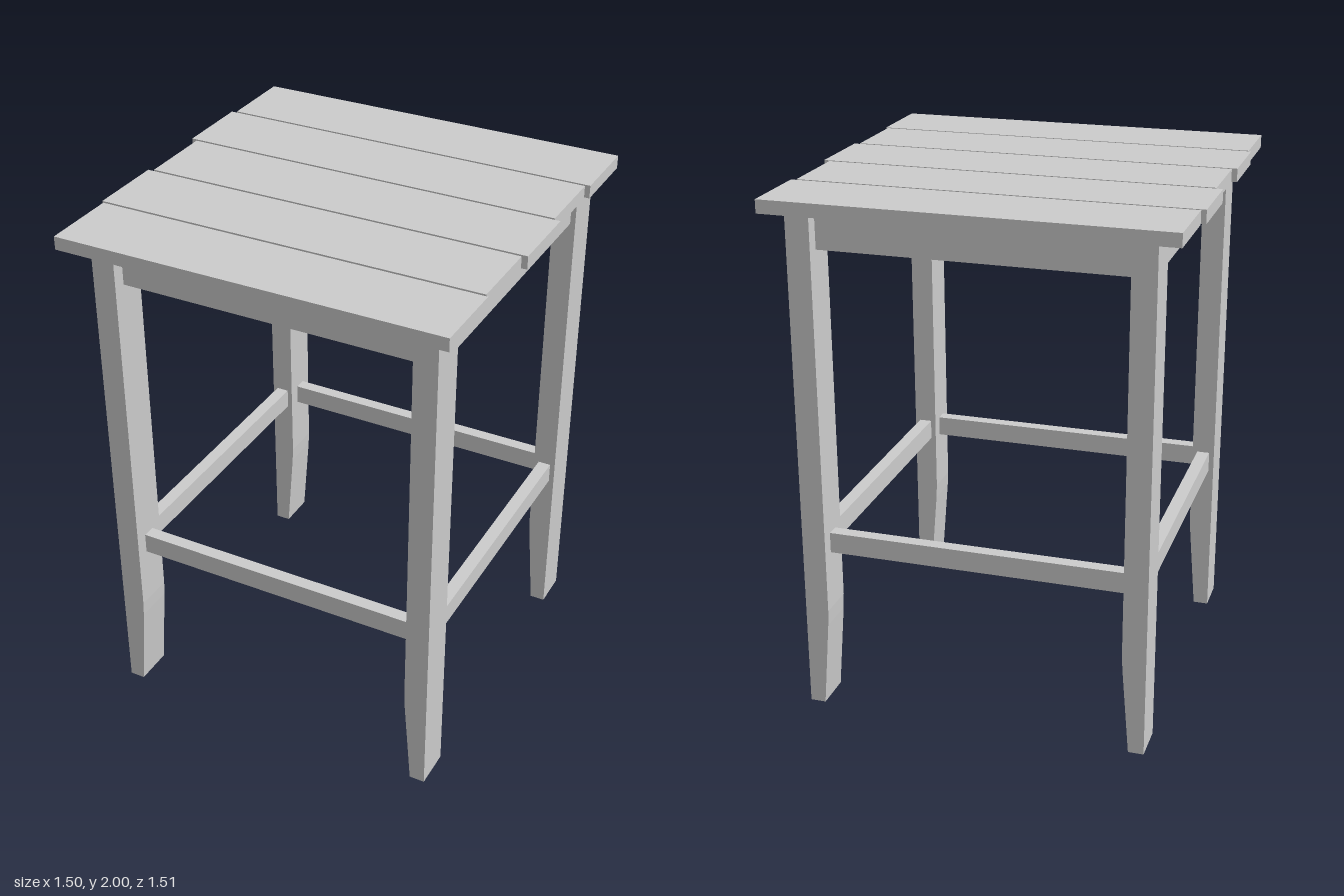
import * as THREE from 'three';

export function createModel() {
  const stool = new THREE.Group();
  stool.name = 'stool';
  const material = new THREE.MeshStandardMaterial({ color: 0xcccccc, flatShading: true });

  const add = (name, geometry, x, y, z) => {
    const mesh = new THREE.Mesh(geometry, material);
    mesh.name = name;
    mesh.position.set(x, y, z);
    stool.add(mesh);
    return mesh;
  };

  const topY = 1.95;
  const cx = 0.016, cz = 0.003; // centre of the frame under the seat
  const outerX = 0.66, legW = 0.09, legD = 0.15, legZ = 0.605;
  const railX = outerX - legW / 2, railT = 0.05;

  // Seat planks, laid slightly uneven
  const plankShift = [0.003, -0.014, 0.011, -0.008, 0.003];
  plankShift.forEach((x, i) => {
    add('seatPlank', new THREE.BoxGeometry(1.48, 0.05, 0.295), x, topY + 0.025, (i - 2) * 0.305);
  });

  // Legs with the inner face tapering towards the foot
  for (const sx of [-1, 1]) {
    const profile = [[0, 0], [0.059, 0], [0.087, 0.34], [legW, 0.4], [legW, topY], [0, topY]];
    const shape = new THREE.Shape(profile.map(([inset, y]) => new THREE.Vector2(sx * (outerX - inset), y)));
    const legGeometry = new THREE.ExtrudeGeometry(shape, { depth: legD, bevelEnabled: false });
    legGeometry.translate(0, 0, -legD / 2);
    for (const sz of [-1, 1]) add('leg', legGeometry, cx, 0, cz + sz * legZ);
  }

  // Aprons under the seat and stretchers lower down, centred on the legs
  const spanX = 2 * (outerX - legW), spanZ = 2 * legZ - legD;
  for (const [name, bottom, top] of [['Apron', 1.8, topY + 0.004], ['Stretcher', 0.625, 0.705]]) {
    const h = top - bottom, y = (top + bottom) / 2;
    for (const s of [-1, 1]) {
      add((s > 0 ? 'front' : 'back') + name, new THREE.BoxGeometry(spanX, h, railT), cx, y, cz + s * legZ);
      add((s > 0 ? 'left' : 'right') + name, new THREE.BoxGeometry(railT, h, spanZ), cx + s * railX, y, cz);
    }
  }

  return stool;
}
